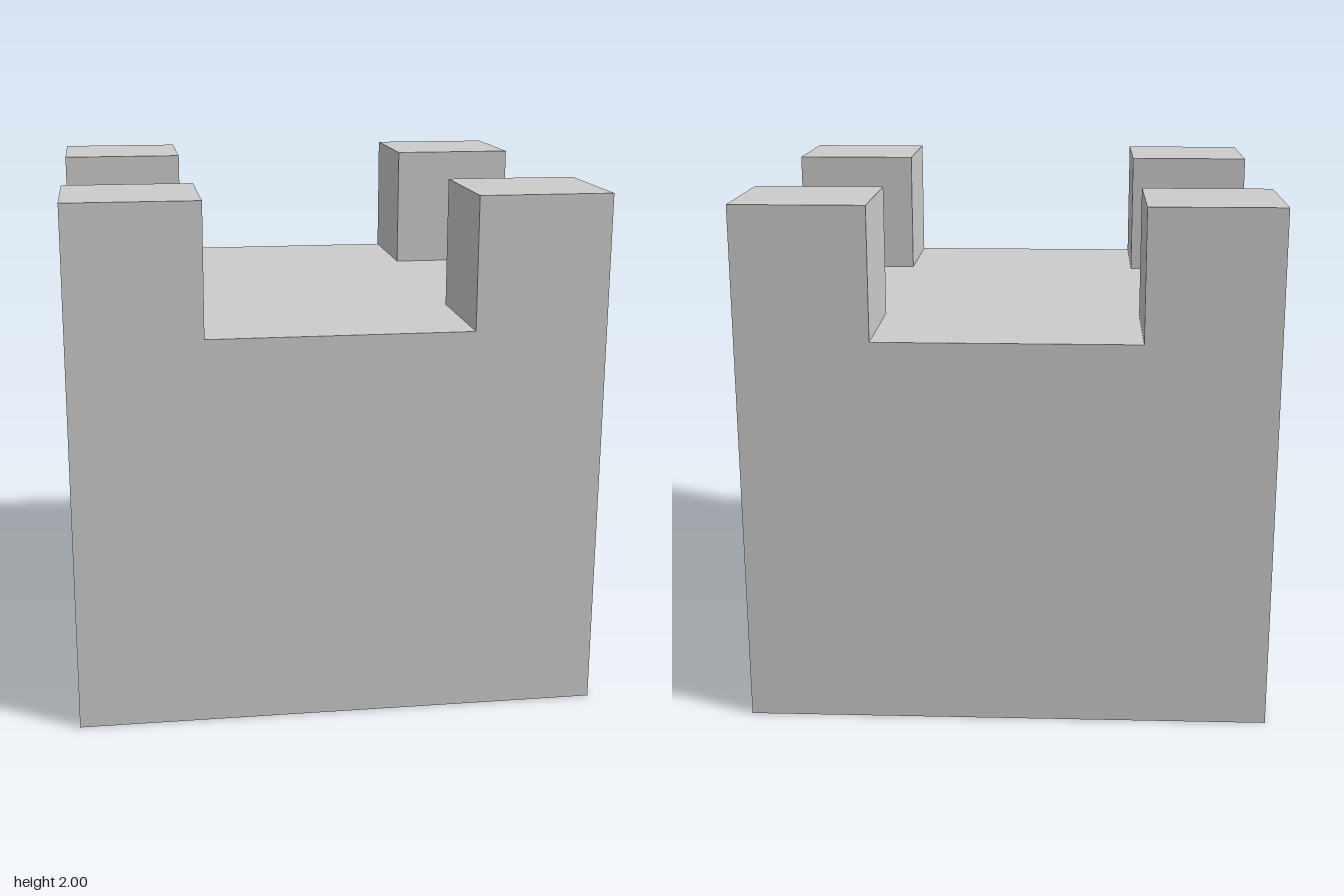
import * as THREE from 'three';

const SIZE = 2;          // overall width, depth and height
const BODY_HEIGHT = 1.5;
const POST = 0.5;        // side of each corner cube

export function createModel() {
  const model = new THREE.Group();
  model.name = 'towerBlock';
  const material = new THREE.MeshStandardMaterial({ color: 0xcccccc, flatShading: true });

  // Solid body
  const body = new THREE.Mesh(new THREE.BoxGeometry(SIZE, BODY_HEIGHT, SIZE), material);
  body.name = 'body';
  body.position.y = BODY_HEIGHT / 2;
  model.add(body);

  // Four battlement cubes, flush with the corners of the body
  const postGeometry = new THREE.BoxGeometry(POST, POST, POST);
  const offset = (SIZE - POST) / 2;
  for (const [sx, side] of [[1, 'Left'], [-1, 'Right']]) {
    for (const [sz, end] of [[1, 'front'], [-1, 'back']]) {
      const post = new THREE.Mesh(postGeometry, material);
      post.name = `${end}${side}Battlement`;
      post.position.set(sx * offset, BODY_HEIGHT + POST / 2, sz * offset);
      model.add(post);
    }
  }

  return model;
}
